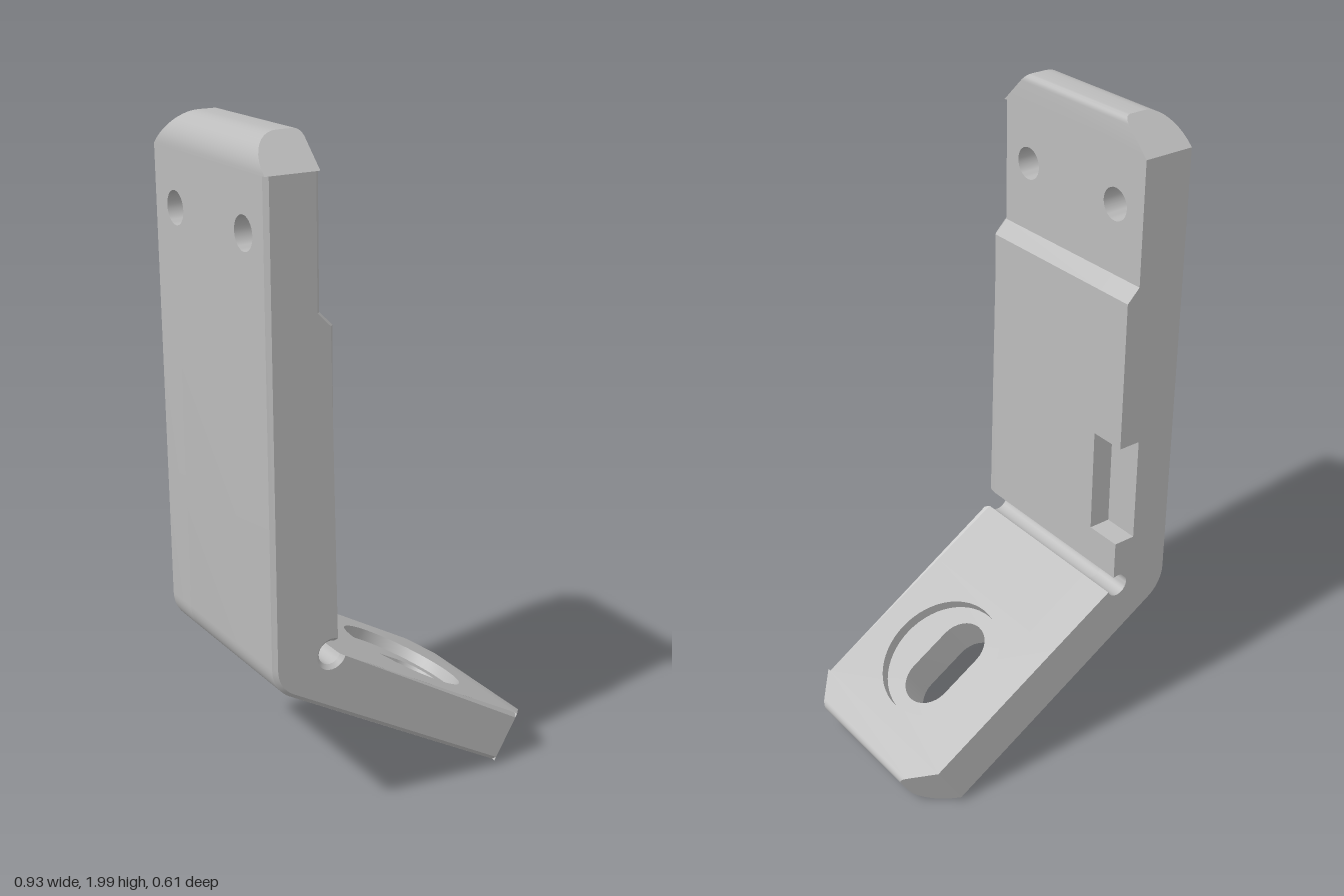
import * as THREE from 'three';
import { toCreasedNormals } from 'three/addons/utils/BufferGeometryUtils.js';

const HALF = 0.305;            // half width of the bracket
const EDGE = 0.012;            // chamfer along the left side
const THICK = 0.16, BACK = -0.465, FRONT = -0.265, THIN = -0.305;
const TIP = 0.095;             // length of the cornered ends
const TIP_Y = 1.905;           // where the upper end begins
const SLOPE = 31 * Math.PI / 180;
const FOOT = new THREE.Vector2(0.39, 0.16); // upper edge where the foot's end begins

// Foot coordinates (u along the foot, v through it) to front-plane x, y
const foot = (u, v) => new THREE.Vector2(u, v).rotateAround(new THREE.Vector2(), -SLOPE).add(FOOT);

function arc(cx, cy, r, a0, a1, n) {
  return Array.from({ length: n + 1 }, (_, i) => {
    const a = a0 + (a1 - a0) * i / n;
    return new THREE.Vector2(cx + r * Math.cos(a), cy + r * Math.sin(a));
  });
}

// Side outline of the bent bar; inset narrows it, notch cuts the pocket
function outline(inset, yTop, uEnd, notch) {
  const V = (x, y) => new THREE.Vector2(x, y);
  const front = FRONT - inset, thin = THIN - inset, back = BACK + inset;
  const pts = [V(back, yTop), ...bend(inset), foot(uEnd, -THICK + inset), foot(uEnd, -inset)];
  // relief groove in the inner corner
  pts.push(...arc(-0.28, 0.555, 0.036 + inset, -0.37, -Math.PI * 2 + 1.14, 20));
  if (notch) pts.push(V(front, 0.71), V(-0.335, 0.71), V(-0.335, 1.04), V(front, 1.04));
  pts.push(V(front, 1.5), V(thin, 1.54), V(thin, yTop));
  return pts;
}

// Rounded outer corner between upright and foot
function bend(inset) {
  const r = 0.11, cx = BACK + r, cy = 0.55;
  return arc(cx, cy, r - inset, Math.PI, Math.PI * 1.5 - SLOPE, 8);
}

// Solid between two matching rings of points, with both ends closed
function loft(lowPts, lowZ, highPts, highZ) {
  if (THREE.ShapeUtils.isClockWise(lowPts)) {
    lowPts = [...lowPts].reverse();
    highPts = [...highPts].reverse();
  }
  const n = lowPts.length, pos = [];
  const low = i => pos.push(lowPts[i % n].x, lowPts[i % n].y, lowZ(i % n, lowPts));
  const high = i => pos.push(highPts[i % n].x, highPts[i % n].y, highZ(i % n, highPts));
  for (let i = 0; i < n; i++) {
    low(i); low(i + 1); high(i + 1);
    low(i); high(i + 1); high(i);
  }
  for (const [a, b, c] of THREE.ShapeUtils.triangulateShape(lowPts, [])) { low(a); low(c); low(b); }
  for (const [a, b, c] of THREE.ShapeUtils.triangulateShape(highPts, [])) { high(a); high(b); high(c); }
  const g = new THREE.BufferGeometry();
  g.setAttribute('position', new THREE.Float32BufferAttribute(pos, 3));
  return toCreasedNormals(g, 0.5);
}

const prism = (pts, z0, z1) => loft(pts, () => z0, pts, () => z1);

// End block: rounded across its thickness, corners cut at 45 degrees
function tip(place) {
  const local = [
    new THREE.Vector2(0, 0),
    ...arc(TIP - 0.02, -0.02, 0.02, Math.PI / 2, 0, 5),
    ...arc(TIP - 0.09, -THICK + 0.09, 0.09, 0, -Math.PI / 2, 10),
    new THREE.Vector2(0, -THICK),
  ];
  const pts = local.map(p => place(p.x, p.y));
  const width = new Map(pts.map((p, i) => [p, HALF - local[i].x]));
  return loft(pts, (i, ring) => -width.get(ring[i]), pts, (i, ring) => width.get(ring[i]));
}

// Rectangle with holes, extruded by depth
function plate(x0, x1, y0, y1, depth, holes) {
  const shape = new THREE.Shape([
    new THREE.Vector2(x0, y0), new THREE.Vector2(x1, y0),
    new THREE.Vector2(x1, y1), new THREE.Vector2(x0, y1),
  ]);
  shape.holes = holes.map(h => new THREE.Path(h));
  const g = new THREE.ExtrudeGeometry(shape, { depth, bevelEnabled: false });
  return toCreasedNormals(g.index ? g.toNonIndexed() : g, 0.5);
}

const circle = (x, y, r, n) => arc(x, y, r, 0, Math.PI * 2, n).slice(0, -1);

export function createModel() {
  const model = new THREE.Group();
  model.name = 'angledBracket';
  const grey = new THREE.MeshStandardMaterial({ color: 0xbcbcbc });
  grey.name = 'plain grey';
  const add = (name, geometry, parent = model) => {
    const mesh = new THREE.Mesh(geometry, grey);
    mesh.name = name;
    parent.add(mesh);
    return mesh;
  };
  const left = HALF - EDGE;

  // Bent body, with the pocket in its right-hand band
  add('bentBody', prism(outline(0, 1.6, -0.5, false), -0.19, left));
  add('pocketBand', prism(outline(0, 1.6, -0.5, true), -HALF, -0.19));

  // Chamfered left edge running the full length
  add('leftEdge', loft(outline(0, TIP_Y, 0, false), () => left,
    outline(EDGE, TIP_Y, 0, false), () => HALF));

  // Thin upper plate with two screw holes
  const upper = plate(-left, HALF, 1.6, TIP_Y, THICK,
    [-0.19, 0.19].map(z => circle(z, 1.745, 0.048, 28)));
  upper.rotateY(Math.PI / 2).translate(BACK, 0, 0);
  add('upperPlate', upper);

  // Cut-cornered ends of the upright and the foot
  add('upperEnd', tip((u, v) => new THREE.Vector2(THIN + v, TIP_Y + u)));
  add('footEnd', tip(foot));

  // Foot plate: round recess above a slot
  const footGroup = new THREE.Group();
  footGroup.name = 'foot';
  footGroup.position.set(FOOT.x, FOOT.y, 0);
  footGroup.rotation.z = -SLOPE;
  model.add(footGroup);
  const cu = -0.262, recess = 0.035, r = 0.083, half = 0.07;
  const slot = [
    ...arc(cu + half, 0, r, -Math.PI / 2, Math.PI / 2, 16),
    ...arc(cu - half, 0, r, Math.PI / 2, Math.PI * 1.5, 16),
  ];
  const layers = [
    ['recessLayer', -recess, recess, circle(cu, 0, 0.2, 56)],
    ['slotLayer', -THICK, THICK - recess, slot],
  ];
  for (const [name, v, depth, hole] of layers) {
    const g = plate(-0.5, 0, -left, HALF, depth, [hole]);
    g.rotateX(-Math.PI / 2).translate(0, v, 0);
    add(name, g, footGroup);
  }
  return model;
}
